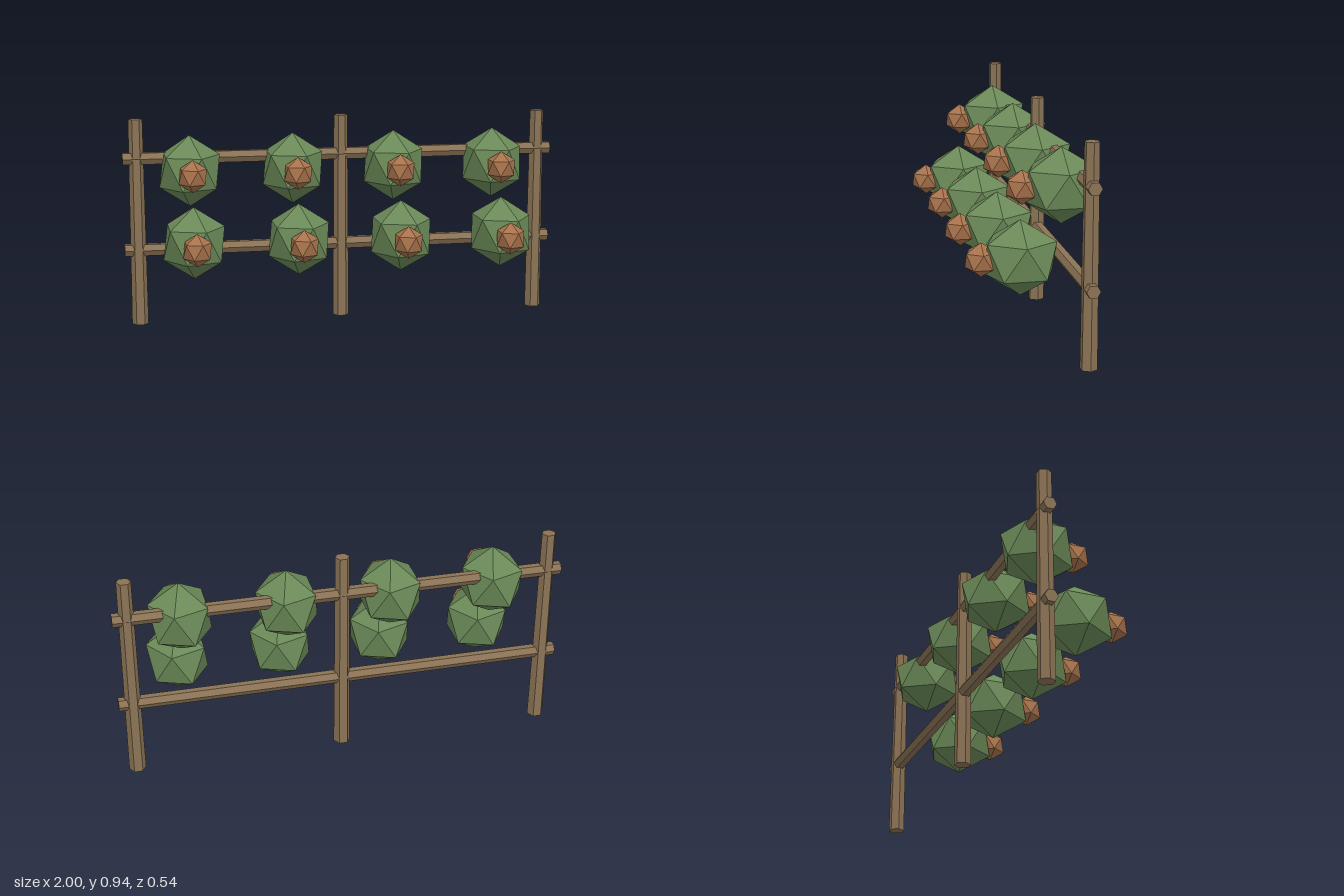
import * as THREE from 'three';

export function createModel() {
  const model = new THREE.Group();
  model.name = 'bushRack';

  const paint = (name, color) => {
    const m = new THREE.MeshStandardMaterial({ color, flatShading: true });
    m.name = name;
    return m;
  };
  const wood = paint('wood', 0x8b7355);
  const leaf = paint('leafGreen', 0x6b8a58);
  const clay = paint('clayBrown', 0xa8734c);

  const add = (name, geometry, material, x, y, z) => {
    const mesh = new THREE.Mesh(geometry, material);
    mesh.name = name;
    mesh.position.set(x, y, z);
    model.add(mesh);
    return mesh;
  };

  const railZ = -0.188;

  // Three tapered six-sided posts with a corner pointing sideways
  const postGeo = new THREE.CylinderGeometry(0.0318, 0.0375, 0.945, 6).rotateY(Math.PI / 6);
  for (const x of [-0.9375, 0, 0.9375]) add('post', postGeo, wood, x, 0.4725, railZ);

  // Two six-sided rails running the full width
  const railGeo = new THREE.CylinderGeometry(0.03, 0.03, 2, 6).rotateZ(Math.PI / 2);
  for (const y of [0.345, 0.766]) add('rail', railGeo, wood, 0, y, railZ);

  // Icosahedron standing on one vertex, upper ring pointing to +x
  const golden = (1 + Math.sqrt(5)) / 2;
  const ball = new THREE.IcosahedronGeometry(1, 0).rotateZ(-Math.atan(1 / golden));

  // Two rows of four bushes, each with a small fruit in front
  const rows = [
    { y: 0.7134, z: -0.125 },
    { y: 0.4165, z: 0.046 },
  ];
  for (const { y, z } of rows) {
    for (const x of [-0.703, -0.234, 0.234, 0.703]) {
      add('bush', ball, leaf, x, y, z).scale.set(0.153, 0.162, 0.1715);
      add('fruit', ball, clay, x, y, z + 0.164).scale.set(0.07, 0.0735, 0.075);
    }
  }
  return model;
}
